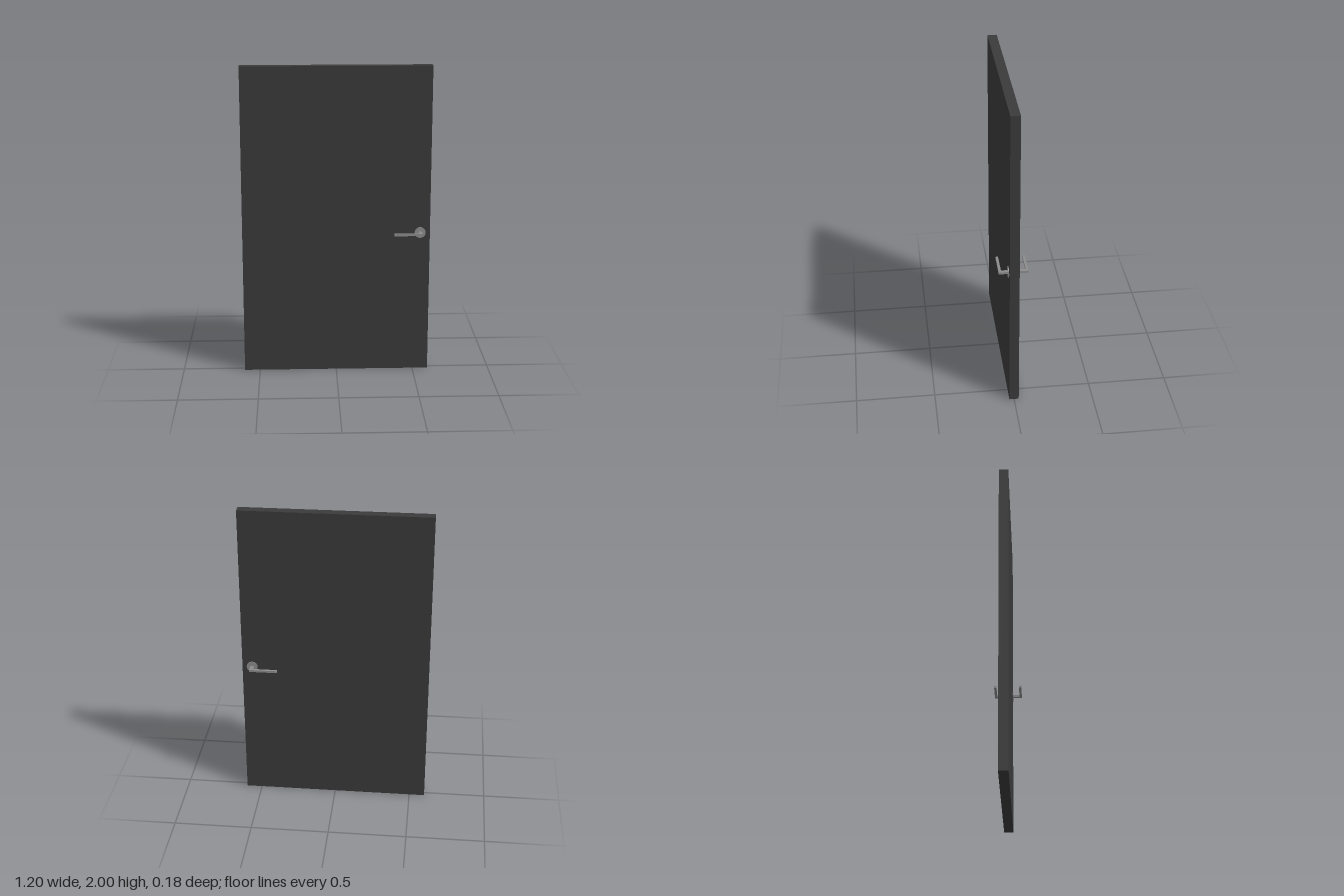
import * as THREE from 'three';

const HANDLE_X = 0.537, HANDLE_Y = 0.93;
const PANEL_DEPTH = 0.06;

export function createModel() {
  const model = new THREE.Group();
  model.name = 'door';
  const panelMat = new THREE.MeshStandardMaterial({ color: 0x3a3a3a });
  const metalMat = new THREE.MeshStandardMaterial({ color: 0x8c8c8c });

  const add = (parent, name, geometry, material) => {
    const mesh = new THREE.Mesh(geometry, material);
    mesh.name = name;
    parent.add(mesh);
    return mesh;
  };

  // Door panel
  add(model, 'panel', new THREE.BoxGeometry(1.2, 2, PANEL_DEPTH), panelMat).position.y = 1;

  // L-shaped lever outline in plan: x across, y outward from the panel centre
  const outline = new THREE.Shape([
    [0.011, 0.025], [0.011, 0.091], [-0.168, 0.091],
    [-0.168, 0.075], [-0.011, 0.075], [-0.011, 0.025],
  ].map(([x, y]) => new THREE.Vector2(x, y)));
  const height = 0.014;

  // One handle per face; side is +1 for the front and -1 for the back
  for (const side of [1, -1]) {
    const handle = new THREE.Group();
    handle.name = side > 0 ? 'frontHandle' : 'backHandle';
    handle.position.set(HANDLE_X, HANDLE_Y, 0);

    // Round rose plate
    const rose = new THREE.CylinderGeometry(0.035, 0.035, 0.01, 32);
    rose.rotateX(Math.PI / 2);
    add(handle, 'rose', rose, metalMat).position.z = side * 0.03;

    // Lever and neck, laid flat; both levers point towards -x
    const lever = new THREE.ExtrudeGeometry(outline, { depth: height, bevelEnabled: false });
    lever.translate(0, 0, -height / 2);
    lever.rotateX(side * Math.PI / 2);
    add(handle, 'lever', lever, metalMat);

    model.add(handle);
  }
  return model;
}
